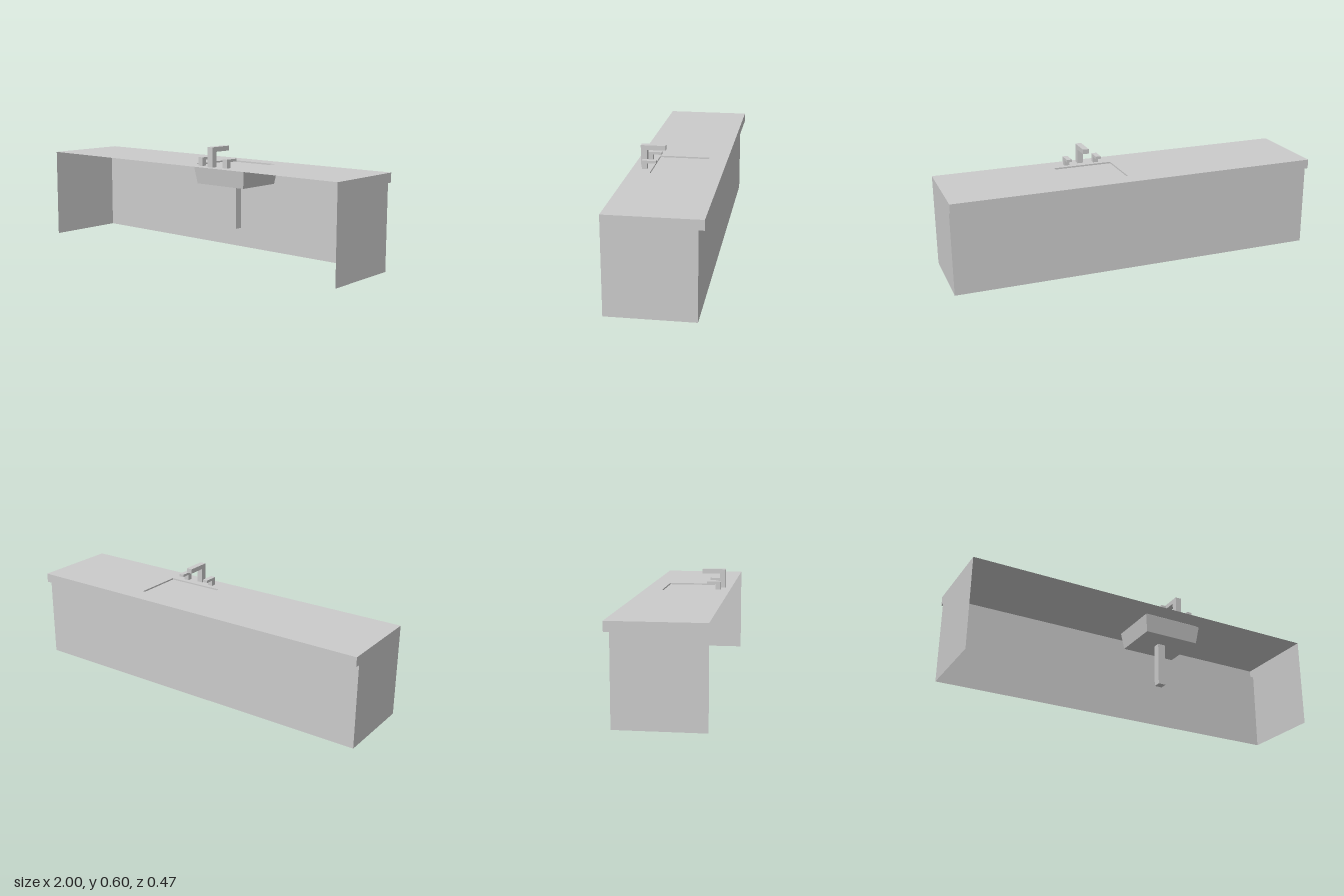
import * as THREE from 'three';

const sheetMat = new THREE.MeshStandardMaterial({ color: 0xcccccc, side: THREE.DoubleSide, flatShading: true });
const solidMat = new THREE.MeshStandardMaterial({ color: 0xcccccc, flatShading: true });

const TOP = 0.495, LIP = 0.445, FRONT = 0.235, BACK = -0.235, PANEL = -0.207;
const SINK_X = 0.2, SINK_Z = -0.003, BASIN_TOP = 0.487;

function add(parent, name, geometry, material) {
  const mesh = new THREE.Mesh(geometry, material);
  mesh.name = name;
  parent.add(mesh);
  return mesh;
}

function polygon(points) {
  return new THREE.Shape(points.map(([a, b]) => new THREE.Vector2(a, b)));
}

// Rectangle corners around a centre
function rect(cx, cy, w, h) {
  return [[cx - w / 2, cy - h / 2], [cx + w / 2, cy - h / 2], [cx + w / 2, cy + h / 2], [cx - w / 2, cy + h / 2]];
}

// Upright post with an arm reaching back over the basin; profile given in (z, y)
function spout(parent, name, x, width, front, postDepth, reach, height, armHeight) {
  const y = TOP + height;
  const shape = polygon([
    [front, TOP], [front, y], [front - reach, y], [front - reach, y - armHeight],
    [front - postDepth, y - armHeight], [front - postDepth, TOP],
  ]);
  const geometry = new THREE.ExtrudeGeometry(shape, { depth: width, bevelEnabled: false });
  geometry.rotateY(-Math.PI / 2).translate(x + width / 2, 0, 0);
  add(parent, name, geometry, solidMat);
}

export function createModel() {
  const model = new THREE.Group();
  model.name = 'sinkCounter';

  // Worktop sheet with the sink cut-out
  const top = polygon(rect(0, 0, 2, FRONT - BACK));
  top.holes.push(new THREE.Path(rect(SINK_X, -SINK_Z, 0.32, 0.266).map(([x, y]) => new THREE.Vector2(x, y))));
  add(model, 'worktop', new THREE.ShapeGeometry(top).rotateX(-Math.PI / 2).translate(0, TOP, 0), sheetMat);

  // Back panel, lip underside and lip face
  add(model, 'backPanel', new THREE.PlaneGeometry(2, LIP).rotateY(Math.PI).translate(0, LIP / 2, PANEL), sheetMat);
  add(model, 'lipUnderside', new THREE.PlaneGeometry(2, PANEL - BACK).rotateX(Math.PI / 2)
    .translate(0, LIP, (PANEL + BACK) / 2), sheetMat);
  add(model, 'lipFace', new THREE.PlaneGeometry(2, TOP - LIP).rotateY(Math.PI)
    .translate(0, (TOP + LIP) / 2, BACK), sheetMat);

  // End panels, including the closed ends of the lip
  const end = polygon([[FRONT, 0], [FRONT, TOP], [BACK, TOP], [BACK, LIP], [PANEL, LIP], [PANEL, 0]]);
  for (const side of [-1, 1]) {
    add(model, side > 0 ? 'leftEndPanel' : 'rightEndPanel',
      new THREE.ShapeGeometry(end).rotateY(-Math.PI / 2).translate(side, 0, 0), sheetMat);
  }

  // Shallow edge walls of the cut-out
  const rimHeight = TOP - BASIN_TOP, rimY = (TOP + BASIN_TOP) / 2;
  for (const s of [-1, 1]) {
    add(model, 'cutoutSideEdge', new THREE.PlaneGeometry(0.266, rimHeight).rotateY(Math.PI / 2)
      .translate(SINK_X + s * 0.16, rimY, SINK_Z), sheetMat);
    add(model, 'cutoutLongEdge', new THREE.PlaneGeometry(0.32, rimHeight)
      .translate(SINK_X, rimY, SINK_Z + s * 0.133), sheetMat);
  }

  // Basin: a box narrowed toward its bottom
  const basin = new THREE.BoxGeometry(0.342, 0.097, 0.286);
  const p = basin.attributes.position;
  for (let i = 0; i < p.count; i++) {
    if (p.getY(i) < 0) {
      p.setX(i, p.getX(i) * 0.92);
      p.setZ(i, p.getZ(i) * 0.9);
    }
  }
  basin.computeVertexNormals();
  add(model, 'basin', basin.translate(SINK_X, BASIN_TOP - 0.0485, SINK_Z), solidMat);

  // Drain
  add(model, 'drainPipe', new THREE.BoxGeometry(0.043, 0.24, 0.043).translate(0.198, 0.27, SINK_Z), solidMat);

  // Tap and its two handles
  const tap = new THREE.Group();
  tap.name = 'tap';
  model.add(tap);
  spout(tap, 'tapSpout', 0.199, 0.033, 0.203, 0.033, 0.13, 0.104, 0.025);
  for (const s of [-1, 1]) {
    spout(tap, s > 0 ? 'leftHandle' : 'rightHandle', 0.199 + s * 0.083, 0.028, 0.183, 0.028, 0.075, 0.045, 0.014);
  }
  return model;
}
